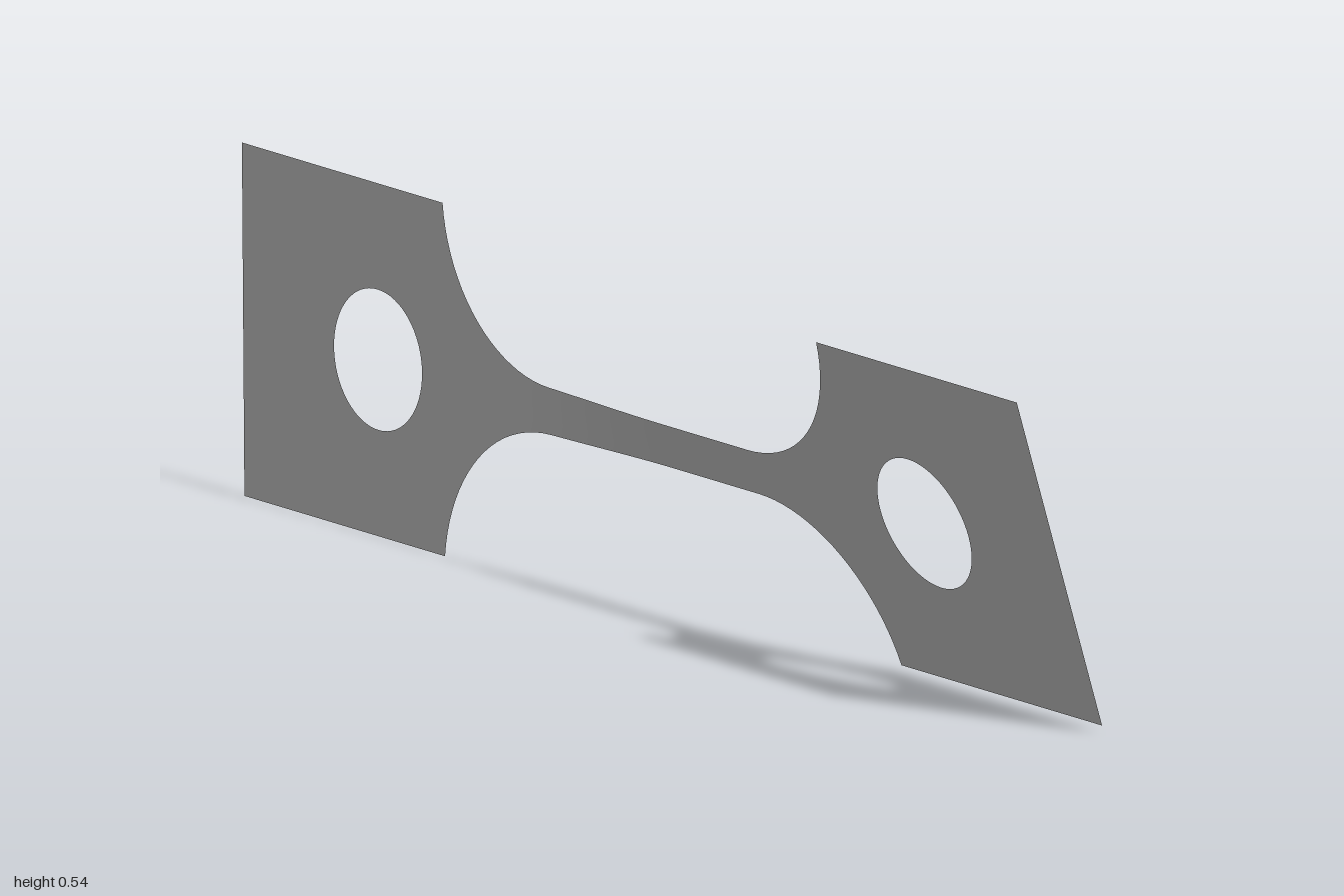
import * as THREE from 'three';

const AXIS_Y = 0.272;      // height of the long axis
const HALF = 0.2715;       // half height of the end plates
const NECK = 0.037;        // half height of the neck
const R = 0.261;           // fillet radius
const ARC_X = 0.248;       // where the fillets meet the neck
const ARC_END = Math.asin((NECK + R - HALF) / R);
const SHOULDER = ARC_X + R * Math.cos(ARC_END);

// Twist the flat sheet about its long axis, mostly over the left half of the neck
function twist(geometry) {
  const p = geometry.attributes.position;
  for (let i = 0; i < p.count; i++) {
    const x = p.getX(i), y = p.getY(i);
    const t = THREE.MathUtils.smoothstep(x, -0.38, 0.04);
    const angle = THREE.MathUtils.degToRad(THREE.MathUtils.lerp(0.5, 17.2, t));
    p.setXYZ(i, x, AXIS_Y + y * Math.cos(angle), 0.0025 * (1 - t) + y * Math.sin(angle));
  }
  geometry.computeVertexNormals();
  return geometry;
}

// End plate with a round hole
function plateGeometry(side) {
  const xs = [side * SHOULDER, side].sort((a, b) => a - b);
  const shape = new THREE.Shape();
  shape.moveTo(xs[0], -HALF);
  shape.lineTo(xs[1], -HALF);
  shape.lineTo(xs[1], HALF);
  shape.lineTo(xs[0], HALF);
  shape.closePath();
  const hole = new THREE.Path();
  hole.absarc(side * 0.669, 0, 0.108, 0, Math.PI * 2, true);
  shape.holes.push(hole);
  return twist(new THREE.ShapeGeometry(shape, 32));
}

// Neck strip with a fillet at each end, lofted from [x, half height] sections
function neckGeometry() {
  const arc = [], sections = [];
  for (let i = 0; i <= 20; i++) {
    const a = THREE.MathUtils.lerp(ARC_END, Math.PI / 2, i / 20);
    arc.push([ARC_X + R * Math.cos(a), NECK + R - R * Math.sin(a)]);
  }
  arc.forEach(([x, h]) => sections.push([-x, h]));
  for (let i = 1; i < 24; i++) sections.push([THREE.MathUtils.lerp(-ARC_X, ARC_X, i / 24), NECK]);
  arc.reverse().forEach(([x, h]) => sections.push([x, h]));

  const rows = 4, positions = [], index = [];
  sections.forEach(([x, h], i) => {
    for (let j = 0; j <= rows; j++) {
      positions.push(x, h * (2 * j / rows - 1), 0);
      if (i === 0 || j === rows) continue;
      const b = i * (rows + 1) + j, a = b - rows - 1;
      index.push(a, b, b + 1, a, b + 1, a + 1);
    }
  });
  const geometry = new THREE.BufferGeometry();
  geometry.setAttribute('position', new THREE.Float32BufferAttribute(positions, 3));
  geometry.setIndex(index);
  return twist(geometry);
}

export function createModel() {
  const group = new THREE.Group();
  group.name = 'twistedStrip';
  const metal = new THREE.MeshStandardMaterial({ color: 0xb0b0b0, side: THREE.DoubleSide });
  metal.name = 'greyMetal';

  const add = (name, geometry) => {
    const mesh = new THREE.Mesh(geometry, metal);
    mesh.name = name;
    group.add(mesh);
  };
  add('rightPlate', plateGeometry(-1));
  add('neck', neckGeometry());
  add('leftPlate', plateGeometry(1));
  return group;
}
